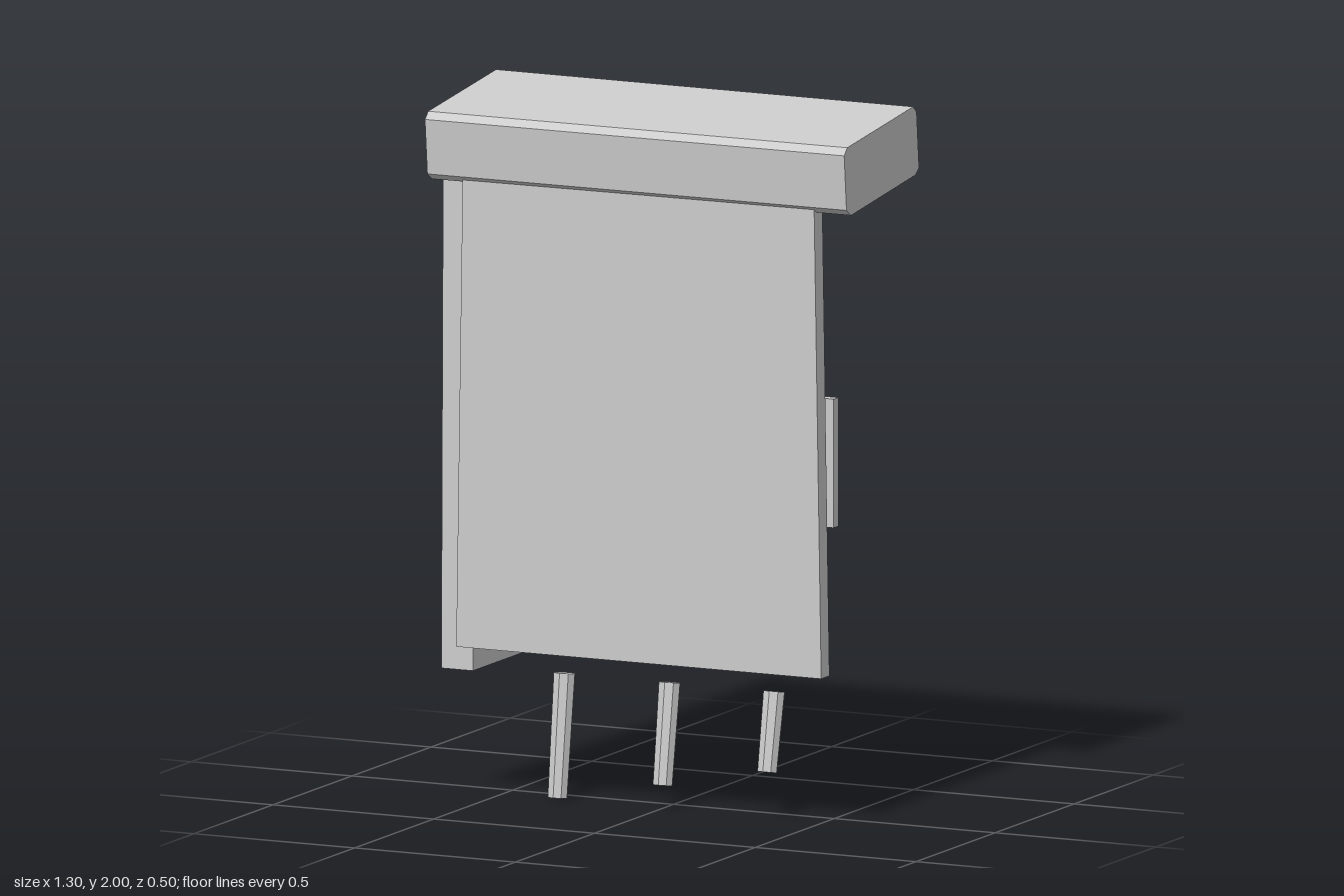
import * as THREE from 'three';

const grey = new THREE.MeshStandardMaterial({ color: 0xcccccc });
grey.name = 'plain grey';

// Box between a lower and an upper rectangle, each [x0, x1, z0, z1];
// yTop may differ between back and front.
function slab(name, low, high, yLow, yBack, yFront = yBack) {
  const geo = new THREE.BoxGeometry(1, 1, 1);
  const p = geo.attributes.position;
  for (let i = 0; i < p.count; i++) {
    const top = p.getY(i) > 0;
    const r = top ? high : low;
    const front = p.getZ(i) > 0;
    p.setXYZ(i, p.getX(i) > 0 ? r[1] : r[0],
      top ? (front ? yFront : yBack) : yLow, front ? r[3] : r[2]);
  }
  geo.computeVertexNormals();
  const mesh = new THREE.Mesh(geo, grey);
  mesh.name = name;
  return mesh;
}

// Tilted roof cap: bevelled [z, y] profile swept along x, slightly narrower at +x
function roof() {
  const profile = [[0.23, 1.952], [-0.2, 2], [-0.222, 1.982], [-0.238, 1.82],
    [-0.215, 1.804], [0.205, 1.756], [0.235, 1.775], [0.25, 1.932]];
  const shape = new THREE.Shape(profile.map(([z, y]) => new THREE.Vector2(-z, y)));
  const geo = new THREE.ExtrudeGeometry(shape, { depth: 1.3, bevelEnabled: false });
  geo.translate(0, 0, -0.65).rotateY(Math.PI / 2);
  const p = geo.attributes.position;
  for (let i = 0; i < p.count; i++) if (p.getX(i) > 0) p.setZ(i, p.getZ(i) * 0.97);
  geo.computeVertexNormals();
  const mesh = new THREE.Mesh(geo, grey);
  mesh.name = 'roof';
  return mesh;
}

// Slanted leg, leaning forward towards its foot
function leg(x, foot) {
  const a = new THREE.Vector3(x, foot + 0.004, 0.068);
  const b = new THREE.Vector3(x, 0.351, 0.024);
  const dir = b.clone().sub(a);
  const geo = new THREE.CylinderGeometry(0.032, 0.029, dir.length(), 8).toNonIndexed();
  geo.computeVertexNormals();
  const mesh = new THREE.Mesh(geo, grey);
  mesh.position.copy(a).add(b).multiplyScalar(0.5);
  mesh.quaternion.setFromUnitVectors(new THREE.Vector3(0, 1, 0), dir.normalize());
  mesh.name = 'leg';
  return mesh;
}

export function createModel() {
  const model = new THREE.Group();
  model.name = 'cabinet';
  model.add(roof());

  // Front panel, narrowing upwards, and the single side wall
  model.add(slab('frontPanel', [-0.57, 0.565, 0.163, 0.215], [-0.55, 0.543, 0.163, 0.215], 0.437, 1.77));
  model.add(slab('sideWall', [-0.635, -0.537, -0.16, 0.177], [-0.632, -0.537, -0.15, 0.172], 0.365, 1.805, 1.77));

  // Rear door, standing slightly ajar, with its handle plate
  const door = new THREE.Mesh(new THREE.BoxGeometry(0.81, 0.95, 0.05), grey);
  door.name = 'rearDoor';
  door.position.set(-0.105, 0.965, -0.175);
  door.rotation.y = 0.086;
  model.add(door);
  const plate = [0.28, 0.39, -0.25, -0.22];
  model.add(slab('doorHandle', plate, plate, 0.78, 1.145));

  // Inner block behind the front panel
  const block = [0.25, 0.37, 0.048, 0.108];
  model.add(slab('innerBlock', block, block, 0.943, 1.265));

  // Legs of uneven length
  [[-0.327, 0], [0, 0.062], [0.325, 0.125]].forEach(([x, foot]) => model.add(leg(x, foot)));
  return model;
}
